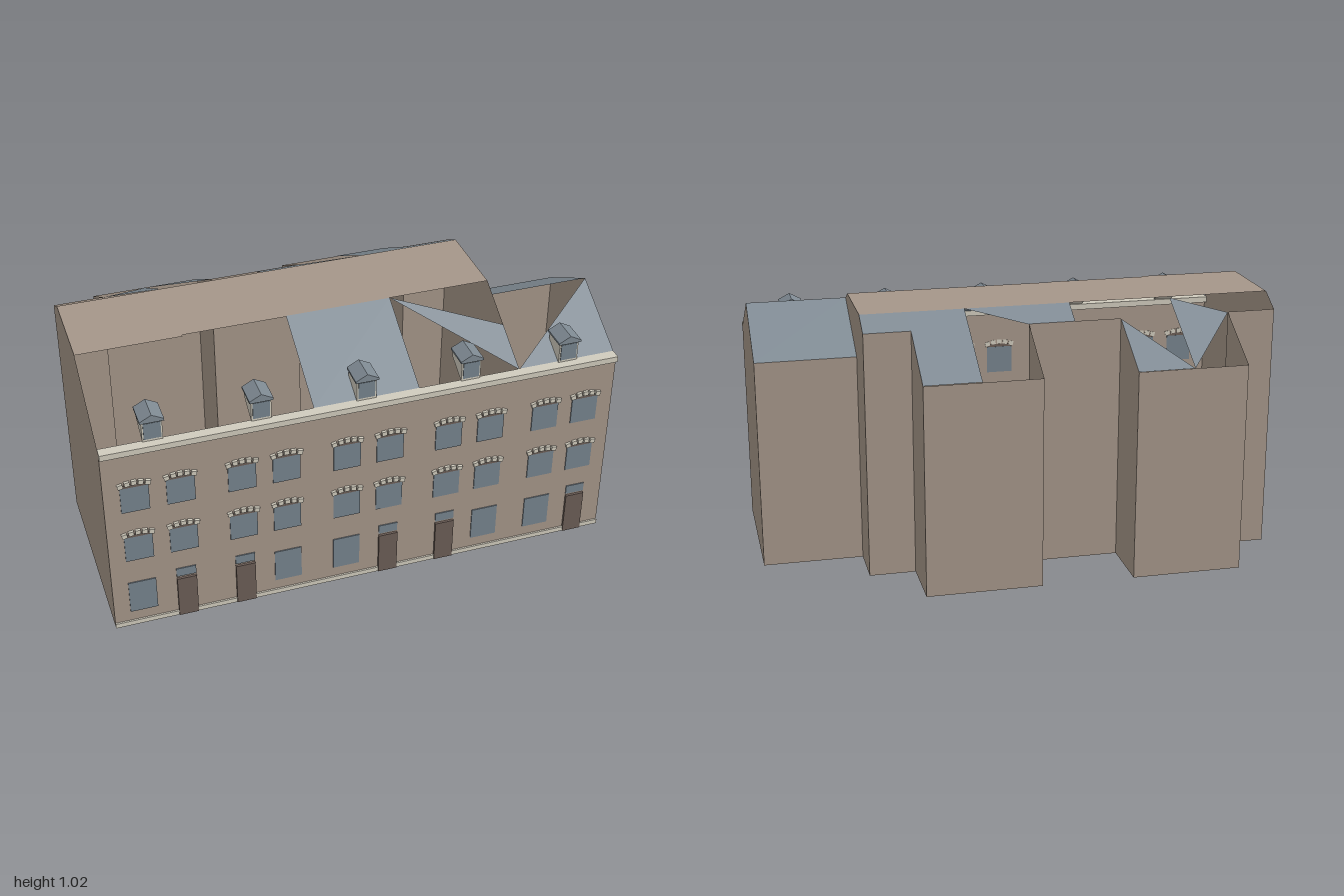
import * as THREE from 'three';

export function createModel() {
  const root = new THREE.Group();
  root.name = 'terrace';
  const mat = (name, color, side = THREE.FrontSide) => {
    const m = new THREE.MeshStandardMaterial({ color, side });
    m.name = name;
    return m;
  };
  const wallMat = mat('brownStone', 0xa59689, THREE.DoubleSide);
  const slate = mat('slate', 0x7f8a93, THREE.DoubleSide);
  const glass = mat('windowGlass', 0x76838d);
  const cream = mat('creamStone', 0xd0cbbd);
  const doorMat = mat('doorBrown', 0x6b5d56);

  // Open sheet made of flat convex polygons
  const sheet = (name, polys, material) => {
    const pos = [];
    for (const p of polys)
      for (let i = 1; i < p.length - 1; i++) pos.push(...p[0], ...p[i], ...p[i + 1]);
    const g = new THREE.BufferGeometry();
    g.setAttribute('position', new THREE.Float32BufferAttribute(pos, 3));
    g.computeVertexNormals();
    const m = new THREE.Mesh(g, material);
    m.name = name;
    root.add(m);
  };
  const box = (name, x0, x1, y0, y1, z0, z1, material, parent = root) => {
    const m = new THREE.Mesh(new THREE.BoxGeometry(x1 - x0, y1 - y0, z1 - z0), material);
    m.position.set((x0 + x1) / 2, (y0 + y1) / 2, (z0 + z1) / 2);
    m.name = name;
    parent.add(m);
    return m;
  };

  const F = 0.505, EAVE = 0.828, TOP = 1.02;

  // Outer walls: each corner is [x, z, height]
  const wallRuns = [
    [[-1, F, 0.82], [1, F, 0.82]],
    [[1, -0.09, EAVE], [0.61, -0.09, EAVE]],
    [[0.61, -0.28, 0.97], [0.43, -0.28, 0.97], [0.43, -0.52, EAVE], [-0.02, -0.52, EAVE],
      [-0.02, -0.28, 0.97], [-0.38, -0.28, 0.97], [-0.38, -0.525, EAVE], [-0.81, -0.525, EAVE],
      [-0.81, -0.28, 0.97], [-1, -0.28, 0.97]],
  ];
  const walls = [];
  for (const run of wallRuns)
    for (let i = 0; i < run.length - 1; i++) {
      const [a, b] = [run[i], run[i + 1]];
      walls.push([[a[0], 0, a[1]], [b[0], 0, b[1]], [b[0], b[2], b[1]], [a[0], a[2], a[1]]]);
    }
  sheet('outerWalls', walls, wallMat);

  // Gable walls: profile of [z, y] at a given x
  const gable = (x, zy) => zy.map(([z, y]) => [x, y, z]);
  const mainProfile = (ridge) => [[F, 0], [-0.28, 0], [-0.28, 0.97], [-0.19, TOP], [ridge, TOP], [0.48, EAVE], [F, EAVE]];
  sheet('gableWalls', [
    gable(1, [[F, 0], [-0.09, 0], [-0.09, EAVE], [0.195, 0.99], [0.48, EAVE], [F, EAVE]]),
    gable(0.61, mainProfile(0.14)),
    gable(-1, mainProfile(0.155).reverse()),
  ], wallMat);

  // Ground floor slab, following the footprint
  const slab = (x0, x1, zb, zf) => [[x0, 0.001, zf], [x1, 0.001, zf], [x1, 0.001, zb], [x0, 0.001, zb]];
  sheet('floor', [slab(-1, 0.61, -0.28, F), slab(0.61, 1, -0.09, F),
    slab(-0.81, -0.38, -0.525, -0.28), slab(-0.02, 0.43, -0.52, -0.28)], wallMat);

  // Flat roof top
  const flat = (x0, x1, zf) => [[x0, TOP, zf], [x1, TOP, zf], [x1, TOP, -0.19], [x0, TOP, -0.19]];
  sheet('flatRoof', [flat(-1, -0.6, 0.155), flat(-0.6, -0.2, 0.145), flat(-0.2, 0.61, 0.14)], wallMat);

  // Slate slopes, partly open; height follows z
  const front = (...p) => p.map(([x, z]) => [x, EAVE + (0.48 - z) / 0.34 * (TOP - EAVE), z]);
  const back = (...p) => p.map(([x, z]) => [x, TOP - (-0.19 - z) / 0.333 * (TOP - EAVE), z]);
  const rear = (x0, x1, z) => back([x0, -0.19], [x0, z], [x1, z], [x1, -0.19]).reverse();
  sheet('frontSlopes', [
    front([-0.2, 0.48], [0.21, 0.48], [0.21, 0.14], [-0.2, 0.14]),
    front([0.21, 0.14], [0.61, 0.48], [0.61, 0.31]),
    [[0.61, EAVE, 0.48], [1, EAVE, 0.48], [1, 0.99, 0.195]],
  ], slate);
  sheet('backSlopes', [
    [[1, EAVE, -0.09], [0.61, EAVE, -0.09], [0.61, 0.99, 0.195], [1, 0.99, 0.195]],
    rear(0.43, 0.61, -0.28),
    rear(0.21, 0.43, -0.52),
    rear(-0.2, -0.02, -0.28),
    back([-0.02, -0.28], [-0.02, -0.19], [0.21, -0.19]),
    back([-0.81, -0.28], [-0.6, -0.195], [-0.6, -0.523]),
    back([-0.6, -0.523], [-0.38, -0.28], [-0.38, -0.523]),
  ], slate);

  // Cornice and plinth
  box('cornice', -1, 1, 0.806, 0.83, 0.478, 0.52, cream);
  box('plinth', -1, 1, 0, 0.02, 0.5, 0.512, cream);

  // Dormers with a gabled slate cap
  const capShape = new THREE.Shape();
  [[-0.045, 0], [0.045, 0], [0.045, 0.008], [0, 0.032], [-0.045, 0.008]]
    .forEach(([x, y], i) => (i ? capShape.lineTo(x, y) : capShape.moveTo(x, y)));
  const capGeo = new THREE.ExtrudeGeometry(capShape, { depth: 0.102, bevelEnabled: false });
  for (const x of [-0.8, -0.4, 0, 0.41, 0.805]) {
    const d = new THREE.Group();
    d.name = 'dormer';
    d.position.x = x;
    const cheek = new THREE.Shape();
    [[0.486, 0.83], [0.486, 0.914], [0.393, 0.914], [0.393, 0.882]]
      .forEach(([z, y], i) => (i ? cheek.lineTo(-z, y) : cheek.moveTo(-z, y)));
    const body = new THREE.Mesh(new THREE.ExtrudeGeometry(cheek, { depth: 0.076, bevelEnabled: false }), cream);
    body.rotation.y = Math.PI / 2;
    body.position.x = -0.038;
    body.name = 'dormerBody';
    d.add(body);
    box('dormerWindow', -0.032, 0.032, 0.84, 0.908, 0.485, 0.489, glass, d);
    const cap = new THREE.Mesh(capGeo, slate);
    cap.position.set(0, 0.913, 0.392);
    cap.name = 'dormerRoof';
    d.add(cap);
    root.add(d);
  }

  // Windows, stepped arched hoods and doors along the facade
  const hood = (x, y) => {
    const g = new THREE.Group();
    g.name = 'windowHood';
    box('hoodBand', x - 0.05, x + 0.05, y - 0.008, y + 0.004, 0.504, 0.51, doorMat, g);
    for (let i = -2; i <= 2; i++) {
      const cx = x + i * 0.0255, cy = y + 0.014 - i * i * 0.0022;
      const b = box('hoodBlock', cx - 0.01, cx + 0.01, cy - 0.009, cy + 0.009, 0.503, 0.516, cream, g);
      b.rotation.z = -i * 0.12;
    }
    root.add(g);
  };
  const columns = [-0.885, -0.715, -0.485, -0.315, -0.08, 0.09, 0.325, 0.495, 0.72, 0.885];
  const doorColumns = [1, 2, 5, 6, 9];
  columns.forEach((x, i) => {
    for (const y of [0.315, 0.545]) {
      box('window', x - 0.053, x + 0.053, y, y + 0.112, 0.503, 0.509, glass);
      hood(x, y + 0.12);
    }
    if (doorColumns.includes(i)) {
      box('door', x - 0.038, x + 0.038, 0, 0.182, 0.503, 0.515, doorMat);
      box('transom', x - 0.038, x + 0.038, 0.19, 0.228, 0.503, 0.509, glass);
    } else {
      box('groundWindow', x - 0.053, x + 0.053, 0.065, 0.207, 0.503, 0.509, glass);
    }
  });
  return root;
}
